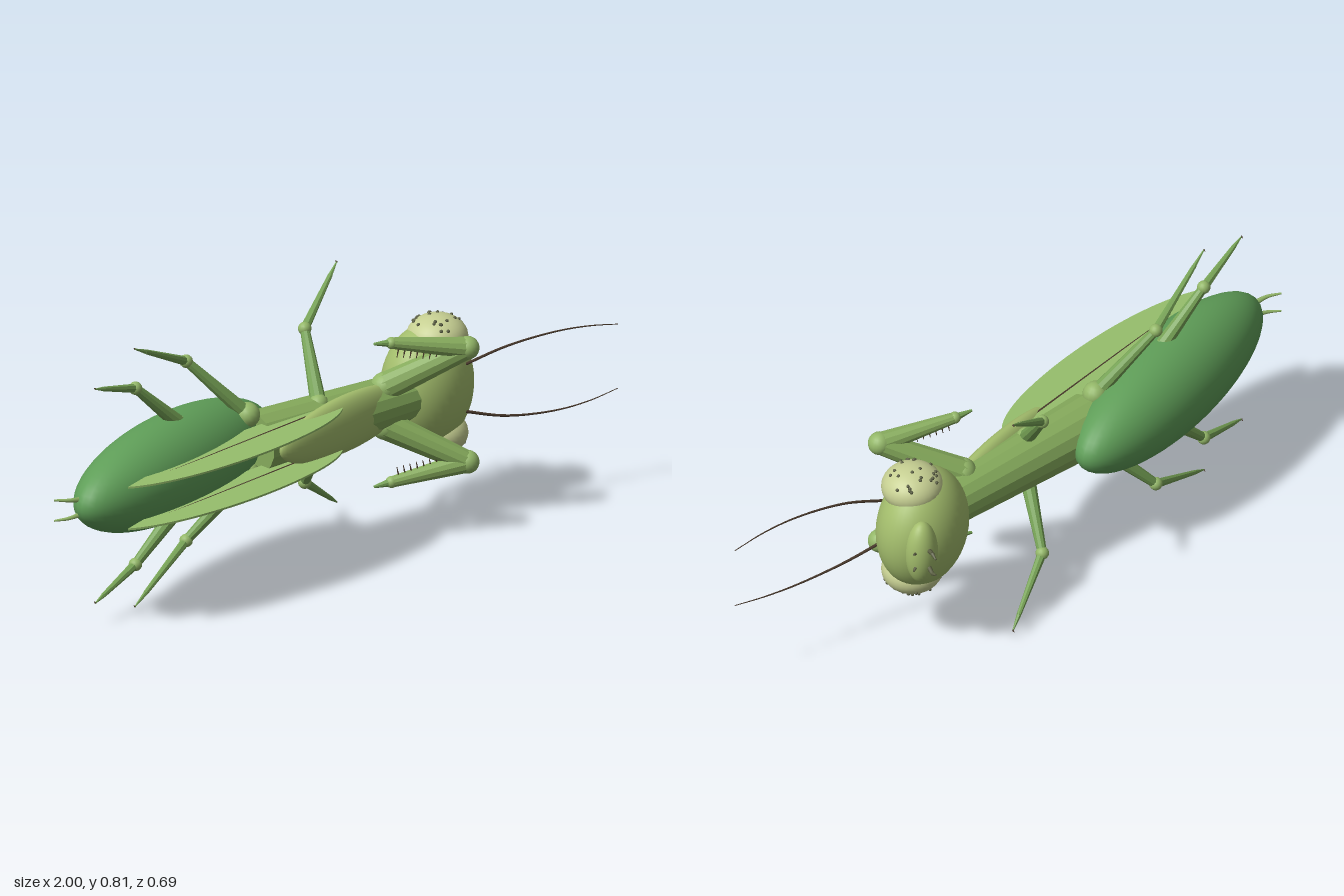
import * as THREE from 'three';

const MID = 0.41; // height of the mirror plane; part positions give y as offset from it
const V = (x, y, z) => new THREE.Vector3(x, y, z);

function mat(color, extra = {}) {
  const m = new THREE.MeshStandardMaterial(extra);
  m.color.set(color);
  return m;
}
const M = {
  abdomen: mat(0x5f9e58),
  thorax: mat(0x86ab5c, { flatShading: true }),
  skin: mat(0xa3bd6c),
  eye: mat(0xc6cf92),
  leg: mat(0x76a255, { flatShading: true }),
  joint: mat(0x93b768),
  wing: mat(0x96bf6c, { side: THREE.DoubleSide }),
  dark: mat(0x4a3a2c),
  speck: mat(0x5c6044),
};

function add(parent, name, geo, material) {
  const mesh = new THREE.Mesh(geo, material);
  mesh.name = name;
  parent.add(mesh);
  return mesh;
}

function ball(parent, name, p, r, material, detail = 32) {
  const m = add(parent, name, new THREE.SphereGeometry(1, detail, Math.round(detail * 0.65)), material);
  m.position.copy(p);
  if (typeof r === 'number') m.scale.setScalar(r);
  else m.scale.set(...r);
  return m;
}

// Tapered rod from a (radius ra) to b (radius rb)
function rod(parent, name, a, b, ra, rb, material, sides = 10) {
  const d = b.clone().sub(a);
  const m = add(parent, name, new THREE.CylinderGeometry(rb, ra, d.length(), sides), material);
  m.position.copy(a).add(b).multiplyScalar(0.5);
  m.quaternion.setFromUnitVectors(V(0, 1, 0), d.normalize());
  return m;
}

// Curved strand that thins out toward its end
function strand(parent, name, points, r0, r1, material) {
  const curve = new THREE.CatmullRomCurve3(points);
  const seg = 24, sides = 6;
  const geo = new THREE.TubeGeometry(curve, seg, 1, sides);
  const pos = geo.attributes.position;
  const v = V(0, 0, 0);
  for (let i = 0; i <= seg; i++) {
    const c = curve.getPointAt(i / seg);
    const r = r0 + (r1 - r0) * i / seg;
    for (let j = 0; j <= sides; j++) {
      const k = i * (sides + 1) + j;
      v.fromBufferAttribute(pos, k).sub(c).multiplyScalar(r).add(c);
      pos.setXYZ(k, v.x, v.y, v.z);
    }
  }
  return add(parent, name, geo, material);
}

function walkingLeg(parent, name, s, base, knee, foot, hip) {
  const g = new THREE.Group();
  g.name = name;
  parent.add(g);
  const [b, k, f] = [base, knee, foot].map(([x, y, z]) => V(x, s * y, z));
  const ankle = k.clone().lerp(f, 0.8);
  ball(g, 'hip', b, hip, M.joint, 16);
  rod(g, 'femur', b, k, 0.024, 0.014, M.leg);
  ball(g, 'knee', k, 0.02, M.joint, 16);
  rod(g, 'tibia', k, ankle, 0.014, 0.007, M.leg, 8);
  rod(g, 'tarsus', ankle, f, 0.007, 0.002, M.leg, 6);
  rod(g, 'claw', f, f.clone().add(V(0.006, 0, -0.008)), 0.003, 0.001, M.dark, 5);
}

function foreleg(parent, s) {
  const g = new THREE.Group();
  g.name = s > 0 ? 'upperForeleg' : 'lowerForeleg';
  parent.add(g);
  const hip = V(0.27, s * 0.06, 0.025), elbow = V(0.415, s * 0.178, 0.217);
  const wrist = V(0.235, s * 0.217, 0.072), tip = V(0.185, s * 0.223, 0.045);
  ball(g, 'hip', hip, 0.044, M.joint, 20);
  rod(g, 'coxa', hip, elbow, 0.044, 0.033, M.thorax, 12);
  ball(g, 'elbow', elbow, 0.035, M.joint, 20);
  rod(g, 'femur', elbow, wrist, 0.033, 0.017, M.thorax, 12);
  ball(g, 'wrist', wrist, 0.018, M.joint, 16);
  rod(g, 'tibia', wrist, tip, 0.013, 0.004, M.leg, 8);
  // Grasping spines along the inner side of the femur
  for (let i = 0; i < 8; i++) {
    const p = elbow.clone().lerp(wrist, 0.3 + i * 0.085);
    rod(g, 'spine', p, p.clone().add(V(-0.008, -s * 0.042, -0.004)), 0.004, 0.001, M.dark, 5);
  }
}

// Upright leaf-shaped blade with a midrib and side veins
function wing(parent, s) {
  const g = new THREE.Group();
  g.name = s > 0 ? 'upperWing' : 'lowerWing';
  g.position.set(0, s * 0.065, 0);
  parent.add(g);
  const shape = new THREE.Shape();
  shape.moveTo(-0.86, -0.1);
  shape.bezierCurveTo(-0.76, 0.0, -0.42, 0.085, -0.14, 0.075);
  shape.bezierCurveTo(-0.02, 0.07, 0.06, 0.04, 0.06, 0.005);
  shape.bezierCurveTo(-0.05, -0.07, -0.4, -0.14, -0.86, -0.1);
  const geo = new THREE.ExtrudeGeometry(shape, { depth: 0.006, bevelEnabled: false, curveSegments: 24 });
  geo.translate(0, 0, -0.003);
  geo.rotateX(Math.PI / 2);
  add(g, 'blade', geo, M.wing);
  const rib = new THREE.LineCurve3(V(-0.83, 0, -0.092), V(0.06, 0, 0.008));
  rod(g, 'midrib', rib.v1, rib.v2, 0.003, 0.005, M.dark, 6);
  for (let i = 0; i < 9; i++) {
    const p = rib.getPoint(0.12 + i * 0.085);
    for (const side of [-1, 1])
      rod(g, 'vein', p, p.clone().add(V(-0.05, 0, side * 0.035)), 0.003, 0.0015, M.dark, 5);
  }
}

export function createModel() {
  const model = new THREE.Group();
  model.name = 'insect';
  const body = new THREE.Group();
  body.name = 'body';
  body.position.y = MID;
  model.add(body);

  // Abdomen, thorax and back shield
  ball(body, 'abdomen', V(-0.49, 0, -0.203), [0.46, 0.155, 0.143], M.abdomen, 48);
  rod(body, 'thorax', V(-0.2, 0, -0.115), V(0.42, 0, 0.04), 0.093, 0.072, M.thorax, 16);
  const shield = ball(body, 'backShield', V(0.08, 0, 0.012), [0.3, 0.088, 0.042], M.skin, 40);
  shield.rotation.y = -0.06;

  // Head, face plate and eyes
  ball(body, 'head', V(0.482, 0, 0.025), [0.162, 0.19, 0.125], M.skin, 40);
  ball(body, 'facePlate', V(0.592, 0, -0.043), [0.052, 0.106, 0.047], M.skin, 32);
  const eyeSize = [0.093, 0.068, 0.091];
  let seed = 7;
  const rnd = () => (seed = (seed * 16807) % 2147483647) / 2147483647;

  for (const s of [1, -1]) {
    const side = s > 0 ? 'upper' : 'lower';
    const eye = V(0.505, s * 0.15, 0.045);
    ball(body, side + 'Eye', eye, eyeSize, M.eye, 32);

    // Dark specks over the outer cap of the eye
    for (let i = 0; i < 26; i++) {
      const a = rnd() * Math.PI * 2, t = Math.sqrt(rnd()) * 1.1;
      const p = V(Math.sin(t) * Math.cos(a) * eyeSize[0], s * Math.cos(t) * eyeSize[1],
        Math.sin(t) * Math.sin(a) * eyeSize[2]).add(eye);
      ball(body, 'eyeSpeck', p, 0.0055, M.speck, 8);
    }

    strand(body, side + 'Antenna', [V(0.515, s * 0.07, 0.125), V(0.64, s * 0.108, 0.195),
      V(0.79, s * 0.123, 0.265), V(0.9, s * 0.117, 0.31), V(0.998, s * 0.1, 0.345)], 0.005, 0.0012, M.dark);

    // Mouth feelers
    const m = V(0.61, s * 0.03, -0.08), n = V(0.625, s * 0.036, -0.102);
    rod(body, side + 'Palp', m, n, 0.007, 0.006, M.speck, 8);
    rod(body, side + 'PalpTip', n, V(0.635, s * 0.028, -0.12), 0.006, 0.003, M.speck, 8);
    rod(body, side + 'Mandible', V(0.625, s * 0.02, -0.05), V(0.652, s * 0.03, -0.055), 0.007, 0.003, M.speck, 8);

    foreleg(body, s);
    walkingLeg(body, side + 'FrontLeg', s, [0.03, 0.065, -0.045], [0.138, 0.24, -0.17], [0.35, 0.375, -0.205], 0.03);
    walkingLeg(body, side + 'MiddleLeg', s, [-0.225, 0.093, -0.12], [-0.37, 0.28, -0.237], [-0.64, 0.402, -0.23], 0.038);
    walkingLeg(body, side + 'RearLeg', s, [-0.48, 0.13, -0.185], [-0.628, 0.275, -0.237], [-0.83, 0.334, -0.238], 0.025);
    wing(body, s);

    // Tail feelers
    strand(body, side + 'TailFeeler', [V(-0.92, s * 0.022, -0.22), V(-0.965, s * 0.028, -0.238),
      V(-0.998, s * 0.032, -0.268)], 0.009, 0.003, M.joint);
  }
  return model;
}
